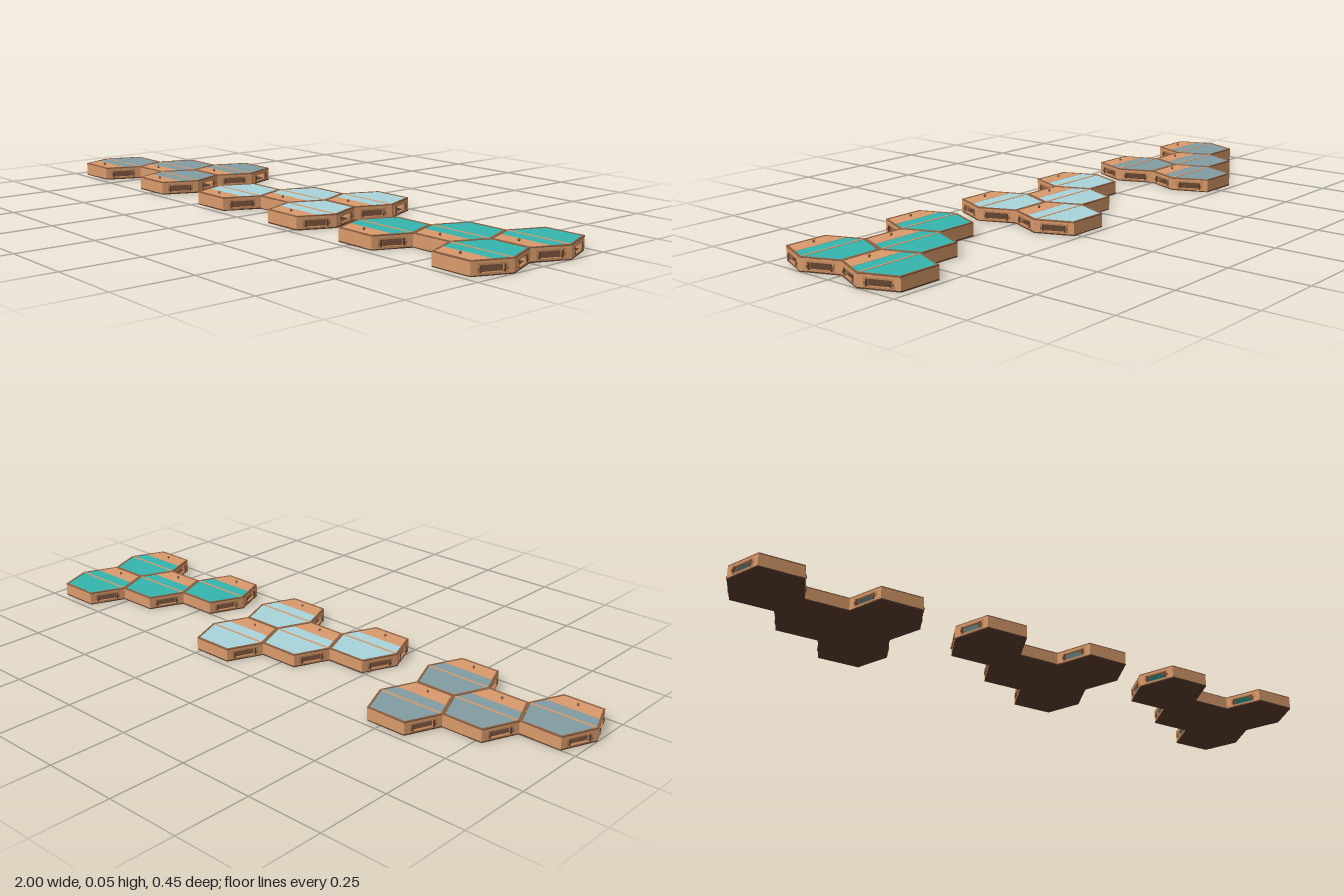
import * as THREE from 'three';

const W = 0.115, F = 0.068, D = 0.1135; // hexagon: tip, half flat edge, half depth
const H = 0.043, T = 0.006;             // box height, wall thickness
const mat = (color) => new THREE.MeshStandardMaterial({ color, flatShading: true });
const wood = mat(0xd99a6b), dark = mat(0x5a3d2c), trim = mat(0x8c5f42), frameMat = mat(0xc48a5c);

const hex = (s = 1) => [[W, 0], [F, D], [-F, D], [-W, 0], [-F, -D], [F, -D]]
  .map(([x, z]) => new THREE.Vector2(x * s, z * s));

function add(parent, name, geometry, material, x = 0, y = 0, z = 0) {
  const mesh = new THREE.Mesh(geometry, material);
  mesh.name = name;
  mesh.position.set(x, y, z);
  parent.add(mesh);
  return mesh;
}

// Flat plate outlined in x/z between two heights
function plate(points, y0, y1, hole) {
  const shape = new THREE.Shape(points);
  if (hole) shape.holes.push(new THREE.Path(hole));
  const g = new THREE.ExtrudeGeometry(shape, { depth: y1 - y0, bevelEnabled: false });
  return g.rotateX(Math.PI / 2).translate(0, y1, 0);
}

const rect = (x0, y0, x1, y1) => [[x0, y0], [x1, y0], [x1, y1], [x0, y1]]
  .map(([x, y]) => new THREE.Vector2(x, y));

// Upright panel with a rectangular opening, running from z0 to z1
function openPanel(outer, inner, z0, z1) {
  const shape = new THREE.Shape(outer);
  shape.holes.push(new THREE.Path(inner));
  return new THREE.ExtrudeGeometry(shape, { depth: z1 - z0, bevelEnabled: false }).translate(0, 0, z0);
}

const L = Math.hypot(W - F, D);
const opening = rect(-0.032, 0.009, 0.032, 0.029);
const geo = {
  floor: plate(hex(), 0, 0.004),
  rim: plate(hex(), 0.039, H, hex(0.945)),
  wall: openPanel(rect(-L / 2, 0.003, L / 2, 0.04), rect(-0.04, 0.007, 0.04, 0.032), -T, 0),
  frame: openPanel(rect(-0.043, 0.005, 0.043, 0.034), opening, -T - 0.001, 0.001),
  flatWall: new THREE.BoxGeometry(2 * F, 0.037, T),
  bar: new THREE.BoxGeometry(0.004, 0.02, 0.006),
  peg: new THREE.BoxGeometry(0.005, 0.007, 0.007),
  hinge: new THREE.BoxGeometry(2 * W - 0.008, 0.004, 0.007),
  knob: new THREE.SphereGeometry(0.0042, 12, 8),
  stem: new THREE.CylinderGeometry(0.002, 0.0025, 0.006, 10),
};

// Lid split into a coloured rear panel and a wooden front strip
const S = 0.955, SPLIT = 0.05;
const cut = S * W - (W - F) * SPLIT / D;
const v = (x, z) => new THREE.Vector2(x, z);
geo.panel = plate([v(S * W, 0), v(cut, SPLIT), v(-cut, SPLIT), v(-S * W, 0), v(-S * F, -S * D), v(S * F, -S * D)], 0.036, 0.0415);
geo.strip = plate([v(cut, SPLIT), v(S * F, S * D), v(-S * F, S * D), v(-cut, SPLIT)], 0.036, 0.042);

function windowWall() {
  const side = new THREE.Group();
  side.name = 'windowWall';
  add(side, 'sidePanel', geo.wall, wood);
  add(side, 'windowFrame', geo.frame, frameMat);
  for (const s of [-1, 1]) {
    add(side, 'windowBar', geo.bar, dark, s * 0.034, 0.019, 0);
    add(side, 'windowPeg', geo.peg, trim, s * 0.0385, 0.018, 0.001);
  }
  return side;
}

function hexBox(lidMat) {
  const box = new THREE.Group();
  box.name = 'hexBox';
  add(box, 'floor', geo.floor, dark);
  add(box, 'rim', geo.rim, trim);
  add(box, 'lidPanel', geo.panel, lidMat);
  add(box, 'lidFrontStrip', geo.strip, wood);
  add(box, 'lidHinge', geo.hinge, wood, 0, 0.0408, 0);
  add(box, 'knobStem', geo.stem, dark, 0, 0.043, 0.079);
  add(box, 'knob', geo.knob, trim, 0, 0.0465, 0.079);
  for (const sz of [-1, 1]) {
    add(box, 'flatWall', geo.flatWall, wood, 0, 0.0215, sz * (D - T / 2));
    for (const sx of [-1, 1]) {
      const side = windowWall();
      side.position.set(sx * (W + F) / 2, 0, sz * D / 2);
      side.rotation.y = Math.atan2(sx * D, sz * (W - F));
      box.add(side);
    }
  }
  return box;
}

export function createModel() {
  const model = new THREE.Group();
  model.name = 'hexBoxClusters';
  const step = W + F;
  // Column and row of each box within a cluster
  const cells = [[-1, 1], [0, 0], [1, 1], [1, -1]];
  const clusters = [[-0.702, 0x829da3], [0.013, 0xa9d5db], [0.702, 0x36b5ae]];
  for (const [x, color] of clusters) {
    const cluster = new THREE.Group();
    cluster.name = 'boxCluster';
    cluster.position.x = x;
    const lidMat = mat(color);
    for (const [col, row] of cells) {
      const box = hexBox(lidMat);
      box.position.set(col * step, 0, row * D);
      cluster.add(box);
    }
    model.add(cluster);
  }
  return model;
}
